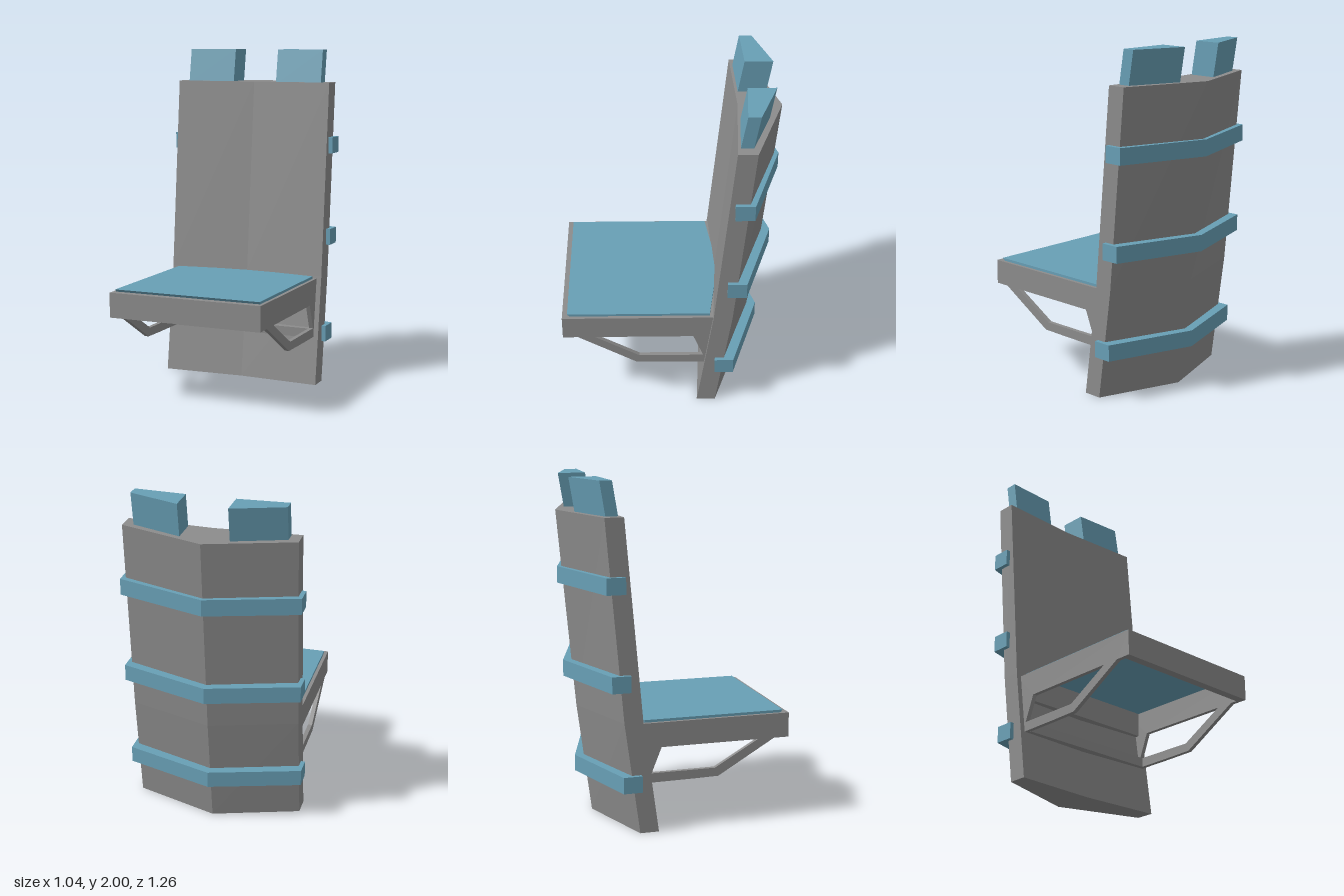
import * as THREE from 'three';

const grey = new THREE.MeshStandardMaterial({ color: 0x8c8c8c });
grey.name = 'grey shell';
const blue = new THREE.MeshStandardMaterial({ color: 0x689fb5 });
blue.name = 'blue trim';

// Flat-sided solid through stacked rings of [x, y, z]; rings run counter-clockwise seen from above
function loft(rings) {
  const pos = [];
  const tri = (...pts) => pts.forEach((p) => pos.push(...p));
  const n = rings[0].length;
  for (let r = 0; r < rings.length - 1; r++) {
    const a = rings[r], b = rings[r + 1];
    for (let i = 0; i < n; i++) {
      const j = (i + 1) % n;
      tri(a[i], a[j], b[j]);
      tri(a[i], b[j], b[i]);
    }
  }
  const low = rings[0], high = rings[rings.length - 1];
  for (let i = 0; i < n - 2; i++) {
    tri(high[n - 1], high[i], high[i + 1]);
    tri(low[n - 1], low[i + 1], low[i]);
  }
  const g = new THREE.BufferGeometry();
  g.setAttribute('position', new THREE.Float32BufferAttribute(pos, 3));
  g.computeVertexNormals();
  return g;
}

// Spined cross-section: flat sides, pointed rear, slightly dished front
const spine = (w, y, front, rear, apex, dish) => [
  [w, y, front], [w, y, rear], [0, y, apex],
  [-w, y, rear], [-w, y, front], [0, y, dish],
];

export function createModel() {
  const model = new THREE.Group();
  const add = (name, geometry, material, parent = model) => {
    const mesh = new THREE.Mesh(geometry, material);
    mesh.name = name;
    parent.add(mesh);
    return mesh;
  };
  const box = (name, w, h, d, x, y, z, parent) =>
    add(name, new THREE.BoxGeometry(w, h, d).translate(x, y, z), grey, parent);

  // Leaning backrest, bent a little at seat height
  add('backrest', loft([
    spine(0.495, 0, -0.165, -0.275, -0.44, -0.19),
    spine(0.495, 0.65, -0.255, -0.365, -0.527, -0.28),
    spine(0.495, 1.805, -0.36, -0.47, -0.635, -0.385),
  ]), grey);

  // Bands wrapped round the rear
  for (const [y, front] of [[0.297, -0.267], [0.88, -0.33], [1.432, -0.357]]) {
    const ring = (v) => spine(0.52, v, front, front - 0.11, front - 0.273, front - 0.025);
    add('rearBand', loft([ring(y - 0.048), ring(y + 0.048)]), blue);
  }

  // Two wedge-shaped blocks on top, leaning with the backrest
  for (const side of [1, -1]) {
    const ring = (y, s) => {
      const pts = [[0.435, -0.411], [0.435, -0.482], [0.14, -0.587], [0.14, -0.426]]
        .map(([x, z]) => [x * side, y, z + s]);
      return side > 0 ? pts : pts.reverse();
    };
    add(side > 0 ? 'leftTopBlock' : 'rightTopBlock', loft([ring(1.79, 0.035), ring(2, 0)]), blue);
  }

  // Seat frame: side panels with their support brackets in one piece
  const seat = new THREE.Group();
  seat.name = 'seat';
  model.add(seat);
  const v2 = (pts) => pts.map(([z, y]) => new THREE.Vector2(z, y));
  const profile = new THREE.Shape(v2([
    [0.63, 0.635], [-0.29, 0.635], [-0.23, 0.285], [0.03, 0.287],
    [0.2, 0.29], [0.54, 0.49], [0.63, 0.49],
  ]));
  profile.holes.push(new THREE.Path(v2([[0.44, 0.49], [0.18, 0.34], [-0.2, 0.34], [-0.14, 0.49]])));
  for (const x of [0.465, -0.44]) {
    const g = new THREE.ExtrudeGeometry(profile, { depth: 0.025, bevelEnabled: false });
    add(x > 0 ? 'leftSeatSide' : 'rightSeatSide', g.rotateY(-Math.PI / 2).translate(x, 0, 0), grey, seat);
  }
  box('seatFront', 0.88, 0.145, 0.05, 0, 0.5625, 0.605, seat);
  box('seatRear', 0.88, 0.145, 0.09, 0, 0.5625, -0.255, seat);
  box('bracketCrossbar', 0.88, 0.055, 0.07, 0, 0.3125, -0.215, seat);

  // Thin seat pad, its rear edge following the backrest
  const pad = (y, front) => [
    [0.445, front], [0.445, -0.235], [0.18, -0.272], [0, -0.29],
    [-0.18, -0.272], [-0.445, -0.235], [-0.445, front],
  ].map(([x, z]) => [x, y, z]);
  add('seatPad', loft([pad(0.634, 0.585), pad(0.65, 0.6)]), blue, seat);

  return model;
}
